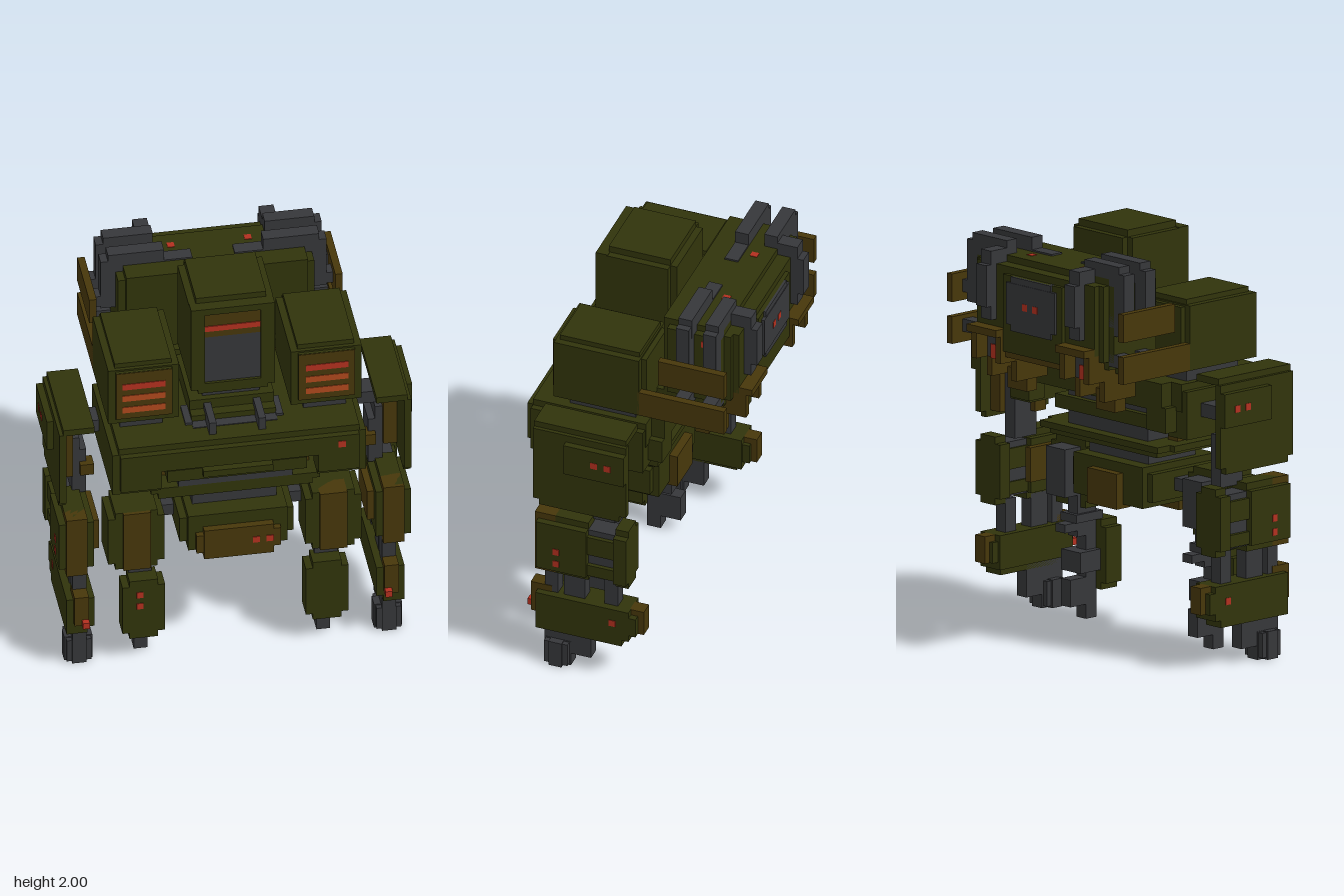
import * as THREE from 'three';

const mat = (color) => new THREE.MeshStandardMaterial({ color, flatShading: true });
const V = 1 / 30; // one block step

export function createModel() {
  const root = new THREE.Group();
  const GREEN = mat(0x31340b), BROWN = mat(0x47370a), GREY = mat(0x36373a), RED = mat(0xb3301f), ORANGE = mat(0xb0481c);

  // Group that collects blocks given by their limits
  const part = (name, mirrored, build) => {
    for (const s of mirrored ? [1, -1] : [1]) {
      const g = new THREE.Group();
      g.name = mirrored ? (s > 0 ? 'left ' : 'right ') + name : name;
      const box = (m, x0, x1, y0, y1, z0, z1, label = 'block') => {
        const b = new THREE.Mesh(new THREE.BoxGeometry(x1 - x0, y1 - y0, z1 - z0), m);
        b.position.set(s * (x0 + x1) / 2, (y0 + y1) / 2, (z0 + z1) / 2);
        b.name = label;
        g.add(b);
      };
      // Plate with its four front corners cut by one step
      const plate = (m, x0, x1, y0, y1, z0, z1, label = 'armour') => {
        box(m, x0 + V, x1 - V, y0, y1, z0, z1, label);
        box(m, x0, x1, y0 + V, y1 - V, z0, z1, label);
      };
      // Block with all edges notched by one step
      const notched = (m, x0, x1, y0, y1, z0, z1, label = 'armour') => {
        box(m, x0 + V, x1 - V, y0, y1, z0 + V, z1 - V, label);
        box(m, x0, x1, y0 + V, y1 - V, z0 + V, z1 - V, label);
        box(m, x0 + V, x1 - V, y0 + V, y1 - V, z0, z1, label);
      };
      build({ box, plate, notched }, s);
      root.add(g);
    }
  };

  // Central tower with visor window
  part('tower', false, ({ box, notched }) => {
    notched(GREEN, -0.2, 0.2, 1.48, 2, -0.065, 0.31);
    for (const s of [-1, 1]) box(GREEN, s * 0.165 - 0.033, s * 0.165 + 0.033, 1.5, 1.97, 0.27, 0.33, 'window post');
    box(GREEN, -0.165, 0.165, 1.935, 1.97, 0.27, 0.33, 'window lintel');
    box(GREEN, -0.165, 0.165, 1.48, 1.535, 0.27, 0.33, 'window sill');
    box(GREY, -0.135, 0.135, 1.53, 1.81, 0.27, 0.317, 'window');
    box(BROWN, -0.135, 0.135, 1.8, 1.94, 0.27, 0.322, 'brow');
    box(RED, -0.135, 0.135, 1.835, 1.865, 0.3, 0.326, 'visor light');
    box(GREY, -0.135, 0.135, 1.33, 1.48, 0, 0.27, 'neck');
    box(GREEN, -0.2, 0.2, 1.33, 1.42, -0.06, 0.3, 'neck collar');
    box(GREY, -0.2, 0.2, 1.3, 1.337, 0.35, 0.4, 'collar seam');
    for (const s of [-1, 1]) {
      box(GREY, s * 0.117 - 0.017, s * 0.117 + 0.017, 1.33, 1.4, 0.3, 0.46, 'strut');
      box(GREY, s * 0.215 - 0.017, s * 0.215 + 0.017, 1.3, 1.345, 0.23, 0.37, 'strut');
    }
  });

  // Launcher pods beside the tower
  part('pod', true, ({ box, notched }) => {
    notched(GREEN, 0.265, 0.6, 1.4, 1.735, -0.065, 0.4);
    box(GREEN, 0.265, 0.6, 1.4, 1.71, -0.04, 0.385, 'pod body');
    box(BROWN, 0.3, 0.565, 1.435, 1.7, 0.3, 0.403, 'pod face');
    [1.47, 1.537, 1.604].forEach((y, i) => box(i === 2 ? RED : ORANGE, 0.333, 0.535, y, y + V, 0.3, 0.406, 'grille light'));
    box(GREY, 0.333, 0.535, 1.33, 1.41, 0, 0.33, 'pod mount');
  });

  // Wide deck with hanging skirt
  part('deck', false, ({ box }) => {
    box(GREEN, -0.57, 0.57, 1.2, 1.333, -0.065, 0.5, 'deck slab');
    box(GREEN, -0.565, 0.565, 1.2, 1.3, 0.45, 0.53, 'deck front');
    box(GREEN, -0.5, 0.5, 1.2, 1.333, -0.13, -0.06, 'deck rear');
    box(GREEN, -0.2, 0.2, 1.3, 1.367, -0.13, 0.35, 'deck ridge');
    box(RED, 0.465, 0.5, 1.235, 1.27, 0.5, 0.533, 'lamp');
    for (const s of [-1, 1]) {
      const slab = (a, b, ...r) => box(GREEN, Math.min(s * a, s * b), Math.max(s * a, s * b), ...r);
      slab(0.37, 0.565, 1.1, 1.22, 0.37, 0.53, 'front skirt');
      slab(0.37, 0.565, 1.07, 1.12, 0.4, 0.5, 'front skirt');
      slab(0.47, 0.6, 1.07, 1.3, -0.06, 0.5, 'side skirt');
      slab(0.4, 0.53, 1.1, 1.22, -0.13, -0.03, 'rear skirt');
    }
  });

  // Belly, waist and hips
  part('waist', false, ({ box }) => {
    box(GREY, -0.27, 0.27, 1, 1.21, 0, 0.4, 'belly');
    box(GREEN, -0.33, 0.33, 1.07, 1.135, -0.03, 0.45, 'belly band');
    box(GREEN, -0.165, 0.165, 1.1, 1.135, 0.4, 0.48, 'belly trim');
    box(GREEN, -0.4, 0.4, 0.97, 1, -0.06, 0.4, 'waist plate');
    box(GREEN, -0.43, 0.43, 0.97, 1, 0.02, 0.35, 'waist plate');
    box(GREEN, -0.365, 0.365, 0.94, 0.975, -0.03, 0.4, 'waist plate');
    for (const s of [-1, 1]) box(BROWN, s * 0.333 - 0.033, s * 0.333 + 0.033, 1, 1.035, 0.1, 0.3, 'bracket');
    box(GREY, -0.2, 0.2, 0.85, 0.95, 0.07, 0.37, 'waist column');
    box(GREEN, -0.235, 0.235, 0.67, 0.867, 0, 0.465, 'hip');
    box(GREEN, -0.27, 0.27, 0.7, 0.835, 0.03, 0.43, 'hip');
    box(BROWN, -0.165, 0.165, 0.635, 0.8, 0.4, 0.5, 'hip front');
    box(BROWN, -0.2, 0.2, 0.67, 0.77, 0.4, 0.495, 'hip front');
    box(BROWN, -0.165, 0.165, 0.605, 0.68, 0.3, 0.4, 'hip underside');
    box(BROWN, -0.1, 0.1, 0.65, 0.82, -0.04, 0.05, 'hip rear');
    for (const x of [0.065, 0.13]) box(RED, x, x + V, 0.705, 0.738, 0.45, 0.504, 'lamp');
    box(GREY, -0.4, 0.4, 0.74, 0.8, 0.17, 0.27, 'hip axle');
  });

  // Legs
  part('leg', true, ({ box, plate }, s) => {
    plate(GREEN, 0.333, 0.6, 0.54, 0.867, 0.2, 0.385);
    box(BROWN, 0.4, 0.53, 0.54, 0.867, 0.3, 0.402, 'thigh front');
    box(GREY, 0.4, 0.53, 0.6, 0.83, 0.1, 0.25, 'thigh frame');
    box(GREY, 0.4, 0.465, 0.4, 0.6, 0.18, 0.3, 'knee');
    box(GREY, 0.385, 0.495, 0.47, 0.51, 0.16, 0.33, 'knee joint');
    plate(GREEN, 0.333, 0.535, 0.135, 0.47, 0.3, 0.4, 'shin plate');
    box(GREY, 0.4, 0.465, 0, 0.43, 0.235, 0.303, 'shin');
    box(GREY, 0.4, 0.465, 0.07, 0.2, 0.135, 0.25, 'heel');
    box(GREY, 0.37, 0.5, 0.23, 0.33, 0.17, 0.3, 'ankle');
    box(GREY, 0.4, 0.465, 0.43, 0.47, 0.1, 0.2, 'calf rod');
    if (s < 0) for (const y of [0.305, 0.37]) box(RED, 0.435, 0.468, y, y + V, 0.38, 0.403, 'lamp');
  });

  // Shoulder shields and upper arms
  part('shoulder', true, ({ box }) => {
    box(GREEN, 0.8, 0.833, 0.97, 1.37, -0.065, 0.4, 'shield');
    box(GREEN, 0.8, 0.833, 0.94, 1.37, -0.03, 0.37, 'shield');
    box(GREEN, 0.667, 0.815, 1.367, 1.4, -0.06, 0.4, 'shield roof');
    box(GREEN, 0.83, 0.865, 1.17, 1.333, -0.065, 0.235, 'shield badge plate');
    for (const z of [0, 0.067]) box(RED, 0.84, 0.867, 1.237, 1.27, z, z + V, 'lamp');
    box(BROWN, 0.735, 0.805, 1.17, 1.3, 0, 0.2, 'shoulder joint');
    box(GREY, 0.55, 0.74, 1.17, 1.235, 0.03, 0.135, 'shoulder axle');
    box(BROWN, 0.735, 0.805, 0.97, 1.17, 0, 0.2, 'arm bracket');
    box(GREY, 0.667, 0.735, 0.85, 1.1, 0.03, 0.17, 'upper arm');
    box(GREY, 0.7, 0.74, 1, 1.17, 0.03, 0.17, 'elbow');
    box(BROWN, 0.635, 0.7, 0.97, 1.03, 0.13, 0.2, 'elbow tab');
  });

  // Forearms with hanging barrels
  part('forearm', true, ({ box, plate }) => {
    plate(GREEN, 0.667, 0.833, 0.54, 0.867, 0.135, 0.385);
    box(BROWN, 0.7, 0.8, 0.54, 0.867, 0.3, 0.402, 'forearm front');
    box(BROWN, 0.635, 0.67, 0.635, 0.8, 0.1, 0.33, 'inner panel');
    plate(GREEN, 0.667, 0.833, 0.54, 0.867, -0.065, 0, 'rear guard');
    box(GREY, 0.7, 0.8, 0.57, 0.83, 0, 0.15, 'forearm frame');
    box(GREEN, 0.69, 0.82, 0.7, 0.8, 0, 0.14, 'strap');
    box(GREEN, 0.69, 0.82, 0.58, 0.64, 0, 0.14, 'strap');
    for (const y of [0.6, 0.667]) box(RED, 0.81, 0.836, y, y + V, 0.27, 0.3, 'lamp');
    box(GREY, 0.7, 0.765, 0.35, 0.56, 0, 0.067, 'rear rod');
    box(GREY, 0.7, 0.765, 0.35, 0.56, 0.165, 0.27, 'rod');
    box(GREY, 0.7, 0.765, 0.35, 0.56, 0.3, 0.365, 'front rod');
    box(GREEN, 0.667, 0.8, 0.235, 0.4, -0.065, 0.4, 'gun body');
    box(GREEN, 0.7, 0.8, 0.2, 0.25, -0.03, 0.4, 'gun body base');
    box(GREEN, 0.68, 0.8, 0.27, 0.37, -0.1, 0, 'gun body rear');
    box(BROWN, 0.7, 0.768, 0.27, 0.4, -0.13, -0.06, 'gun rear');
    box(BROWN, 0.7, 0.768, 0.27, 0.433, 0.33, 0.435, 'gun front');
    box(RED, 0.7, 0.733, 0.27, 0.303, 0.43, 0.465, 'sensor');
    box(RED, 0.78, 0.803, 0.305, 0.338, 0, V, 'lamp');
    box(GREY, 0.7, 0.765, 0.1, 0.24, 0.135, 0.367, 'barrel root');
    box(GREY, 0.7, 0.765, 0.067, 0.235, 0.135, 0.24, 'barrel hook');
    box(GREY, 0.667, 0.8, 0.0, 0.135, 0.27, 0.335, 'barrel');
    box(GREY, 0.7, 0.767, 0.0, 0.135, 0.235, 0.367, 'barrel');
    box(GREY, 0.675, 0.792, 0.01, 0.13, 0.243, 0.36, 'barrel');
  });

  // Backpack body
  part('backpack', false, ({ box }) => {
    box(GREEN, -0.465, 0.465, 1.47, 1.835, -0.4, -0.13, 'pack');
    box(GREEN, -0.43, 0.43, 1.43, 1.867, -0.4, -0.1, 'pack');
    box(GREEN, -0.43, 0.43, 1.47, 1.835, -0.435, -0.13, 'pack');
    box(GREEN, -0.4, 0.4, 1.5, 1.835, -0.465, -0.13, 'pack');
    box(GREEN, -0.2, 0.2, 1.43, 1.8, -0.485, -0.4, 'pack rear');
    box(GREY, -0.165, 0.165, 1.57, 1.77, -0.5, -0.45, 'rear panel');
    box(GREY, -0.135, 0.135, 1.54, 1.8, -0.497, -0.45, 'rear panel');
    for (const x of [-0.05, 0.02]) box(RED, x, x + V, 1.65, 1.683, -0.502, -0.48, 'lamp');
    for (const x of [-0.2, 0.165]) box(RED, x, x + V, 1.85, 1.87, -0.335, -0.3, 'lamp');
    for (const x of [-0.468, 0.44]) box(RED, x, x + 0.028, 1.77, 1.803, -0.335, -0.3, 'lamp');
    box(GREEN, -0.43, 0.43, 1.4, 1.45, -0.33, -0.06, 'pack base');
    box(GREEN, -0.2, 0.2, 1.33, 1.42, -0.2, 0, 'pack link');
    box(BROWN, -0.2, 0.2, 1.4, 1.5, -0.47, -0.4, 'rear rail');
  });

  // Pipes, side fins and thrusters
  part('thruster', true, ({ box }) => {
    box(GREY, 0.1, 0.3, 1.835, 1.875, -0.267, -0.2, 'front pipe end');
    box(GREY, 0.235, 0.5, 1.835, 1.935, -0.267, -0.2, 'front pipe');
    box(GREY, 0.43, 0.535, 1.63, 1.9, -0.265, -0.2, 'front pipe');
    box(GREY, 0.265, 0.5, 1.83, 1.935, -0.4, -0.335, 'rear pipe');
    box(GREY, 0.45, 0.535, 1.6, 1.9, -0.4, -0.335, 'rear pipe');
    box(GREY, 0.265, 0.335, 1.8, 1.9, -0.5, -0.37, 'pipe bend');
    box(GREY, 0.265, 0.335, 1.635, 1.835, -0.53, -0.43, 'pipe drop');
    box(GREY, 0.265, 0.335, 1.57, 1.7, -0.5, -0.43, 'pipe foot');
    box(BROWN, 0.565, 0.6, 1.6, 1.735, -0.467, -0.135, 'upper fin');
    box(BROWN, 0.565, 0.6, 1.4, 1.53, -0.467, -0.03, 'lower fin');
    for (const z of [-0.4, -0.265]) for (const y of [1.45, 1.64]) box(GREY, 0.43, 0.57, y, y + 0.06, z, z + 0.065, 'fin strut');
    // Nozzle housing open at the rear and below
    box(BROWN, 0.2, 0.4, 1.5, 1.535, -0.53, -0.3, 'housing top');
    for (const x of [0.2, 0.365]) {
      box(BROWN, x, x + 0.035, 1.37, 1.535, -0.5, -0.2, 'housing side');
      box(BROWN, x, x + 0.035, 1.27, 1.4, -0.4, -0.2, 'housing side');
    }
    box(BROWN, 0.2, 0.4, 1.27, 1.5, -0.27, -0.2, 'housing front');
    box(BROWN, 0.235, 0.365, 1.2, 1.3, -0.3, -0.233, 'housing tip');
    box(GREY, 0.235, 0.365, 1.37, 1.5, -0.43, -0.26, 'nozzle');
    box(RED, 0.265, 0.335, 1.367, 1.435, -0.437, -0.36, 'nozzle glow');
  });

  return root;
}
